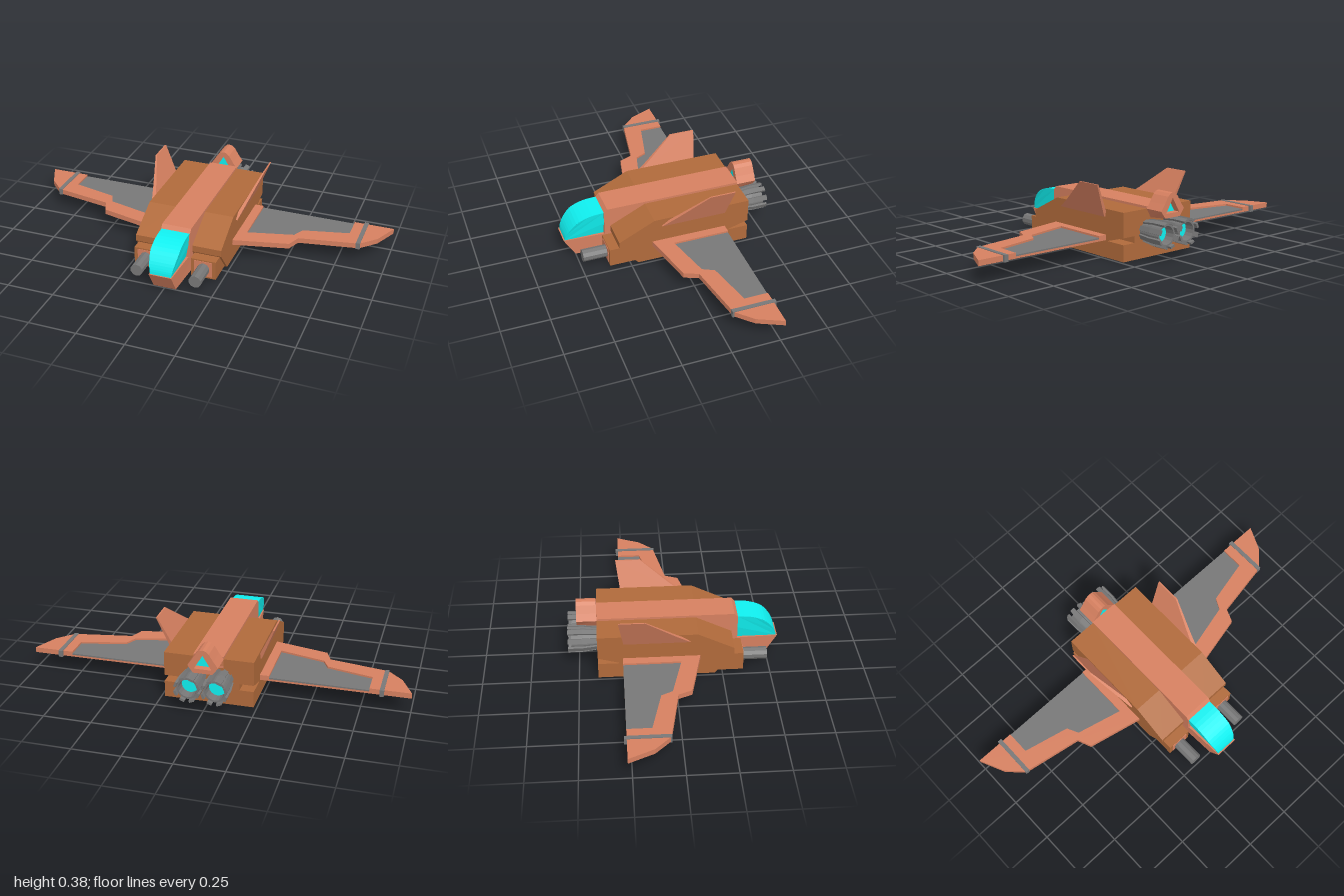
import * as THREE from 'three';

const paint = (color) => new THREE.MeshStandardMaterial({ color, flatShading: true, side: THREE.DoubleSide });

export function createModel() {
  const model = new THREE.Group();
  const brown = paint(0xb06a3b), salmon = paint(0xd68060), grey = paint(0x777777), cyan = paint(0x10f0f0);

  const add = (name, geometry, material) => {
    const mesh = new THREE.Mesh(geometry, material);
    mesh.name = name;
    model.add(mesh);
    return mesh;
  };
  const shapeOf = (pts) => new THREE.Shape(pts.map(([a, b]) => new THREE.Vector2(a, b)));
  const extrude = (shape, depth) => new THREE.ExtrudeGeometry(shape, { depth, bevelEnabled: false });
  // Side profile of [z, y] points, spanning x0..x1
  const side = (pts, x0, x1) => extrude(shapeOf(pts), x1 - x0).rotateY(-Math.PI / 2).translate(x1, 0, 0);
  // Plan outline of [x, z] points, spanning y0..y1
  const plan = (pts, y0, y1, s) =>
    extrude(shapeOf(pts.map(([x, z]) => [s * x, -z])), y1 - y0).rotateX(-Math.PI / 2).translate(0, y0, 0);
  const box = (x0, x1, y0, y1, z0, z1) =>
    new THREE.BoxGeometry(x1 - x0, y1 - y0, z1 - z0).translate((x0 + x1) / 2, (y0 + y1) / 2, (z0 + z1) / 2);
  const warp = (geometry, rule) => {
    const p = geometry.attributes.position, v = new THREE.Vector3();
    for (let i = 0; i < p.count; i++) {
      rule(v.fromBufferAttribute(p, i));
      p.setXYZ(i, v.x, v.y, v.z);
    }
    geometry.computeVertexNormals();
    return geometry;
  };

  // Fuselage core and raised spine
  add('fuselageCore', side([[-0.4, 0], [0.21, 0], [0.3, 0.11], [0.3, 0.16], [0.12, 0.248], [-0.4, 0.248]], -0.16, 0.16), brown);
  add('spine', side([[-0.4, 0.2], [-0.4, 0.262], [0.325, 0.262], [0.343, 0.242], [0.343, 0.1], [0.2, 0.1]], -0.078, 0.078), salmon);

  // Nose, narrowing towards the tip
  const nose = side([[0.56, 0.103], [0.5, 0.003], [0.2, 0.003], [0.2, 0.103]], -0.075, 0.075);
  add('nose', warp(nose, (v) => { if (v.z > 0.45) v.x *= 0.8; }), salmon);

  // Curved canopy, pinched towards its base
  const arc = new THREE.SplineCurve([[0.343, 0.243], [0.41, 0.239], [0.48, 0.214], [0.525, 0.17], [0.547, 0.13], [0.553, 0.103]]
    .map(([z, y]) => new THREE.Vector2(z, y))).getPoints(16).map((p) => [p.x, p.y]);
  const canopy = side([[0.343, 0.103], [0.343, 0.17], ...arc], -0.075, 0.075);
  add('canopy', warp(canopy, (v) => { v.x *= 0.74 + 0.26 * Math.min(1, (v.y - 0.103) / 0.1); }), cyan);

  // Exhaust hood on the tail with a glowing inside
  const hood = shapeOf([[-0.05, 0.202], [0.05, 0.202], [0.078, 0.25], [0.055, 0.283], [0.032, 0.32], [0.016, 0.334],
    [0, 0.338], [-0.016, 0.334], [-0.032, 0.32], [-0.055, 0.283], [-0.078, 0.25]]);
  const opening = [[-0.045, 0.235], [0.045, 0.235], [0, 0.31]];
  hood.holes.push(shapeOf(opening));
  add('tailHood', warp(extrude(hood, 0.105).translate(0, 0, -0.505),
    (v) => { if (v.y < 0.21 && v.z < -0.45) v.y += 0.01; }), salmon);
  add('tailGlow', extrude(shapeOf(opening), 0.06).translate(0, 0, -0.47), cyan);

  const wingOutline = [[0.22, 0.135], [0.52, 0.067], [0.55, -0.005], [0.86, -0.06], [0.94, -0.14], [1, -0.27], [0.22, -0.27]];
  const panel = [[0.28, -0.27], [0.79, -0.27], [0.79, -0.146], [0.55, -0.09], [0.52, -0.03], [0.28, 0.03]];
  const finProfile = [[0.08, 0.21], [0, 0.265], [-0.155, 0.383], [-0.29, 0.383], [-0.265, 0.21]];
  const flank = [[-0.4, 0], [0.21, 0], [0.31, 0.12], [0.31, 0.155], [0.12, 0.25], [-0.4, 0.25],
    [-0.4, 0.122], [-0.28, 0.087], [-0.4, 0.087]];

  for (const s of [1, -1]) {
    const tag = s > 0 ? 'left' : 'right';
    const span = (a, b) => (s > 0 ? [a, b] : [-b, -a]);

    // Flank with the notch behind the wing
    add(tag + 'Flank', side(flank, ...span(0.076, 0.233)), brown);

    // Wing: bottom plate, raised rim and recessed panel
    add(tag + 'WingPlate', plan(wingOutline, 0.09, 0.101, s), salmon);
    add(tag + 'WingRim', plan([...wingOutline.slice(0, 6), ...panel.slice(1), [0.28, -0.27], [0.22, -0.27]], 0.1, 0.118, s), salmon);
    add(tag + 'WingPanel', plan(panel, 0.1, 0.108, s), grey);
    add(tag + 'WingBand', box(...span(0.842, 0.864), 0.086, 0.121, -0.283, -0.055), grey);

    // Outward-leaning fin, thinner at the tip
    add(tag + 'Fin', warp(side(finProfile, -0.5, 0.5), (v) => {
      const t = (v.y - 0.21) / 0.173;
      v.x = v.x * (0.022 - 0.014 * t) + s * (0.23 + 0.074 * t);
    }), salmon);

    // Gun housing and barrel
    add(tag + 'GunHousing', box(...span(0.088, 0.222), 0.01, 0.112, 0.18, 0.36), brown);
    add(tag + 'GunPlate', box(...span(0.107, 0.203), 0.02, 0.105, 0.35, 0.363), salmon);
    add(tag + 'GunBarrel', new THREE.CylinderGeometry(0.033, 0.033, 0.14, 10)
      .rotateX(Math.PI / 2).translate(s * 0.157, 0.063, 0.42), grey);

    // Engine: open nozzle, glow disc and ring of petals
    const engine = new THREE.Group();
    engine.name = tag + 'Engine';
    engine.position.set(s * 0.07, 0.136, -0.4);
    const put = (name, geometry, material) => {
      const mesh = new THREE.Mesh(geometry, material);
      mesh.name = name;
      engine.add(mesh);
      return mesh;
    };
    const profile = [[0.052, 0], [0.06, 0.075], [0.058, 0.135], [0.048, 0.135], [0.044, 0.07]]
      .map(([r, l]) => new THREE.Vector2(r, l));
    put('nozzle', new THREE.LatheGeometry(profile, 16).rotateX(-Math.PI / 2), grey);
    put('engineGlow', new THREE.CircleGeometry(0.046, 16).rotateY(Math.PI).translate(0, 0, -0.085), cyan);
    for (let i = 0; i < 8; i++) {
      const petal = new THREE.BoxGeometry(0.026, 0.012, 0.155, 1, 1, 2).translate(0, 0.062, -0.0775);
      warp(petal, (v) => { if (v.z > -0.01) v.y -= 0.009; });
      put('petal', petal, grey).rotation.z = ((i + 0.5) * Math.PI) / 4;
    }
    model.add(engine);
  }
  return model;
}
